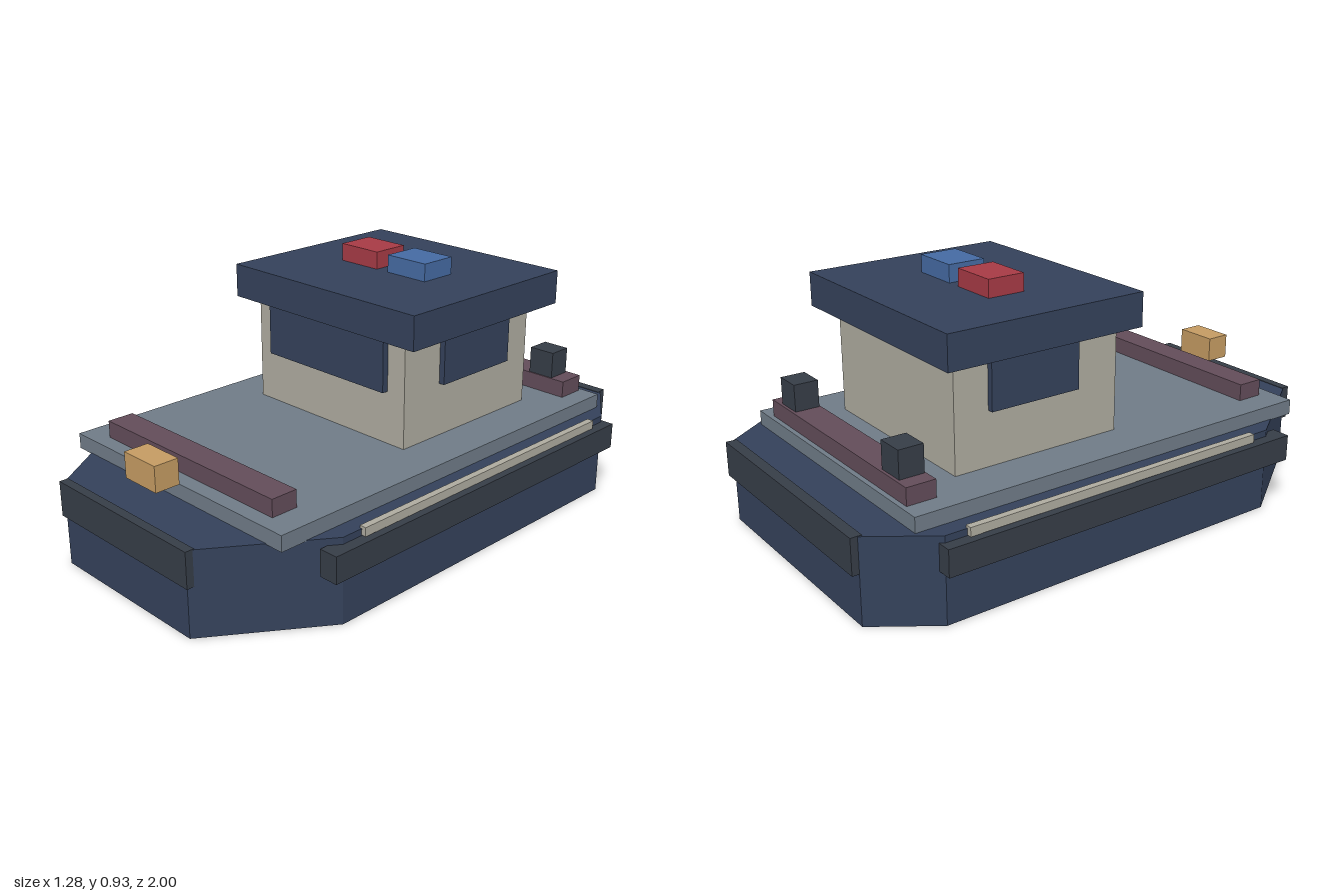
import * as THREE from 'three';

export function createModel() {
  const root = new THREE.Group();
  root.name = 'patrolBoat';

  const material = (name, color) => {
    const m = new THREE.MeshStandardMaterial({ color });
    m.name = name;
    return m;
  };
  const navy = material('navy', 0x34415a);
  const rubber = material('rubber', 0x363d47);
  const deckGrey = material('deckGrey', 0x6f7b87);
  const cream = material('cream', 0xaeab9f);
  const maroon = material('maroon', 0x624c59);
  const red = material('redLight', 0xa63a45);
  const blue = material('blueLight', 0x456aa2);
  const amber = material('amber', 0xc49b62);

  // Box given by its extents on each axis
  const block = (name, mat, [x0, x1], [y0, y1], [z0, z1]) => {
    const mesh = new THREE.Mesh(new THREE.BoxGeometry(x1 - x0, y1 - y0, z1 - z0), mat);
    mesh.position.set((x0 + x1) / 2, (y0 + y1) / 2, (z0 + z1) / 2);
    mesh.name = name;
    root.add(mesh);
  };
  // The same box on both sides
  const pair = (name, mat, [x0, x1], y, z) => {
    block(name + 'Left', mat, [x0, x1], y, z);
    block(name + 'Right', mat, [-x1, -x0], y, z);
  };

  // Hull: eight-sided plan extruded upward (shape y becomes -z)
  const side = [[0.328, 0.99], [0.598, 0.6], [0.598, -0.765], [0.45, -0.975]];
  const plan = [...side, ...side.map(([x, z]) => [-x, z]).reverse()];
  const shape = new THREE.Shape(plan.map(([x, z]) => new THREE.Vector2(x, -z)));
  const hullGeometry = new THREE.ExtrudeGeometry(shape, { depth: 0.305, bevelEnabled: false });
  hullGeometry.rotateX(-Math.PI / 2);
  const hull = new THREE.Mesh(hullGeometry, navy);
  hull.name = 'hull';
  root.add(hull);

  // Fenders and side rails
  block('bowFender', rubber, [-0.34, 0.34], [0.18, 0.307], [0.967, 1]);
  block('sternFender', rubber, [-0.45, 0.45], [0.18, 0.307], [-1, -0.96]);
  pair('sideFender', rubber, [0.57, 0.64], [0.186, 0.281], [-0.78, 0.67]);
  pair('sideRail', cream, [0.59, 0.615], [0.283, 0.314], [-0.685, 0.52]);

  // Deck and its fittings
  block('deck', deckGrey, [-0.534, 0.534], [0.302, 0.358], [-0.828, 0.792]);
  block('frontBar', maroon, [-0.43, 0.43], [0.356, 0.42], [0.635, 0.735]);
  block('rearBar', maroon, [-0.458, 0.458], [0.356, 0.42], [-0.81, -0.703]);
  pair('bollard', rubber, [0.297, 0.4], [0.418, 0.519], [-0.799, -0.708]);
  block('bowLamp', amber, [-0.08, 0.08], [0.378, 0.47], [0.818, 0.91]);

  // Cabin, windows and roof
  block('cabin', cream, [-0.365, 0.365], [0.356, 0.745], [-0.575, 0.082]);
  block('frontWindow', navy, [-0.287, 0.287], [0.55, 0.744], [0.07, 0.106]);
  pair('sideWindow', navy, [0.35, 0.387], [0.553, 0.744], [-0.445, -0.095]);
  block('roof', navy, [-0.443, 0.443], [0.742, 0.865], [-0.642, 0.128]);

  // Roof beacons
  block('redBeacon', red, [-0.207, -0.028], [0.863, 0.929], [-0.33, -0.188]);
  block('blueBeacon', blue, [0.026, 0.204], [0.863, 0.929], [-0.33, -0.188]);

  return root;
}
